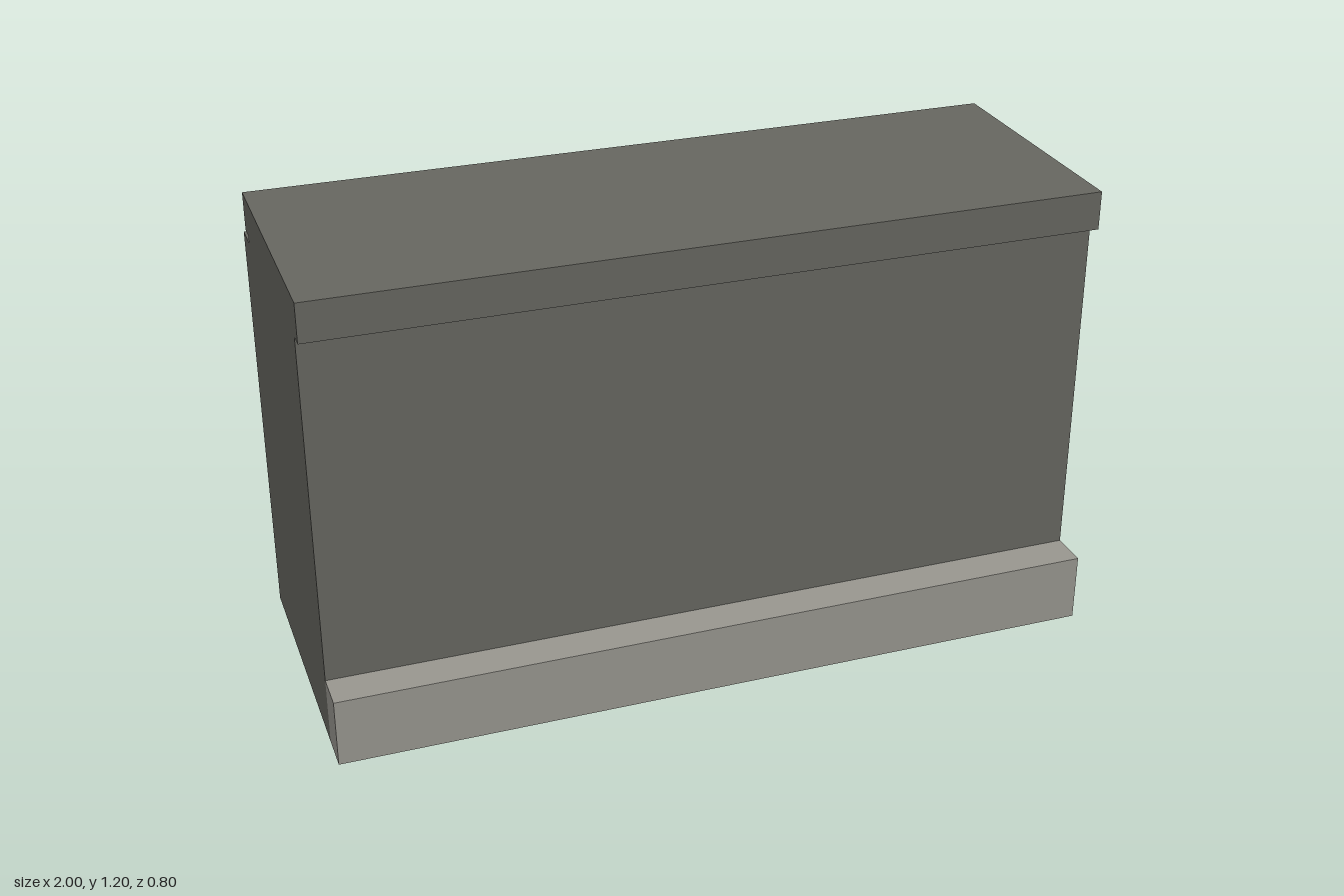
import * as THREE from 'three';

const LENGTH = 2;

// Extrudes a [z, y] cross-section along the full length, centred on x = 0
function extrudeAlongX(points, material, name) {
  const shape = new THREE.Shape(points.map(([z, y]) => new THREE.Vector2(z, y)));
  const geometry = new THREE.ExtrudeGeometry(shape, { depth: LENGTH, bevelEnabled: false });
  geometry.rotateY(-Math.PI / 2).translate(LENGTH / 2, 0, 0);
  const mesh = new THREE.Mesh(geometry, material);
  mesh.name = name;
  return mesh;
}

export function createModel() {
  const darkStone = new THREE.MeshStandardMaterial({ color: 0x666660 });
  darkStone.name = 'dark stone';
  const lightStone = new THREE.MeshStandardMaterial({ color: 0x98968f });
  lightStone.name = 'light stone';

  const group = new THREE.Group();
  group.name = 'wallSection';

  // Wall with a rear ledge, a narrow groove and an overhanging coping
  group.add(extrudeAlongX([
    [-0.4, 0], [0.3, 0], [0.3, 1.1], [0.34, 1.1], [0.34, 1.2],
    [-0.36, 1.2], [-0.36, 1.1], [-0.32, 1.1], [-0.32, 1.08], [-0.4, 1.08],
  ], darkStone, 'wall'));

  // Low plinth along the foot of the front face
  group.add(extrudeAlongX([
    [0.3, 0], [0.4, 0], [0.4, 0.18], [0.3, 0.18],
  ], lightStone, 'plinth'));

  return group;
}
